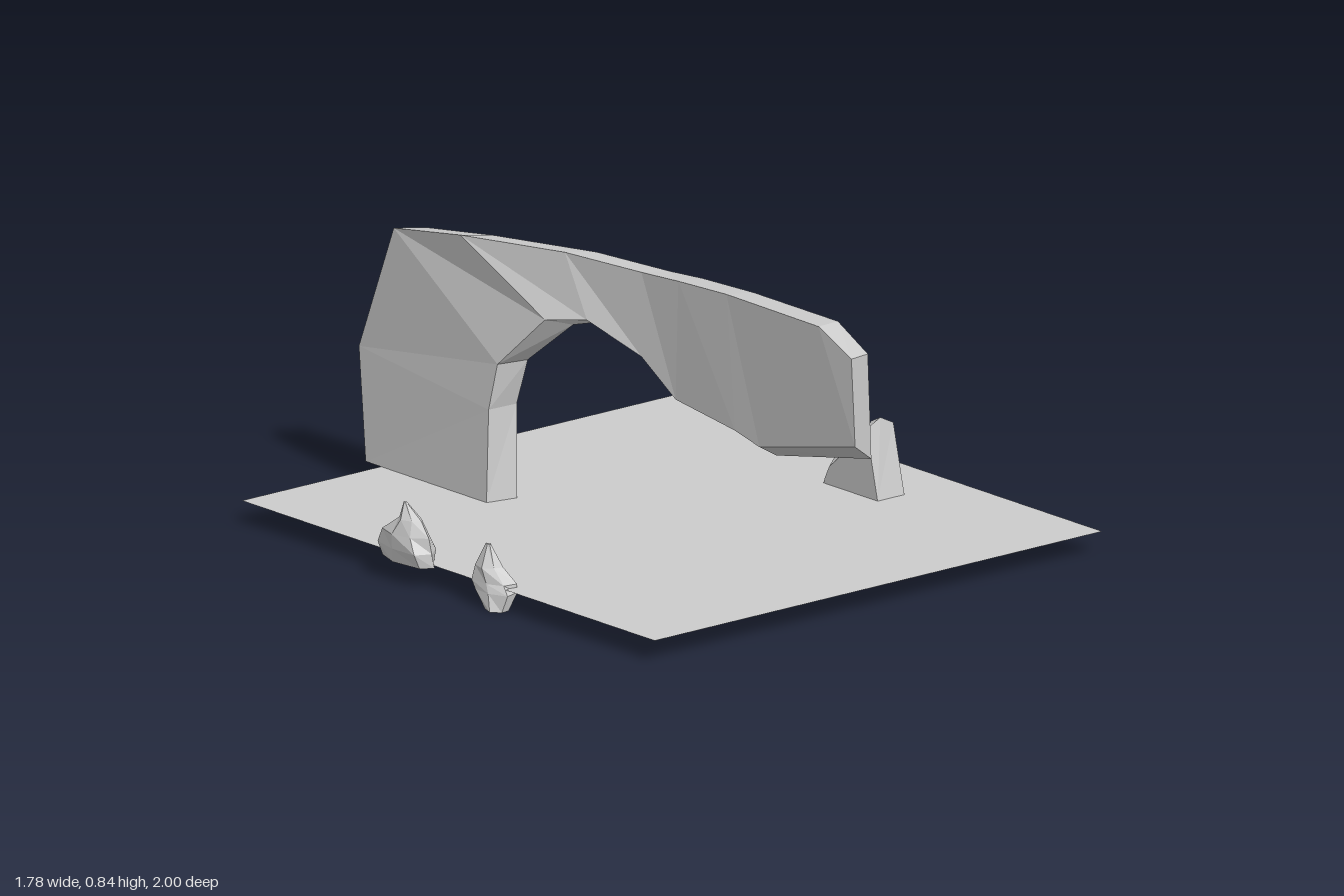
import * as THREE from 'three';

const grey = new THREE.MeshStandardMaterial({ color: 0xcccccc, flatShading: true });

// Skin a list of equal-sized rings of [x, y, z] points and cap both ends.
function loft(name, rings) {
  const n = rings[0].length;
  const index = [];
  for (let i = 0; i < rings.length - 1; i++) {
    for (let j = 0; j < n; j++) {
      const a = i * n + j, b = i * n + (j + 1) % n;
      index.push(a, b, b + n, a, b + n, a + n);
    }
  }
  const last = (rings.length - 1) * n;
  for (let j = 1; j < n - 1; j++) {
    index.push(0, j + 1, j, last, last + j, last + j + 1);
  }
  const points = rings.flat().map((p) => new THREE.Vector3(...p));
  // Turn the faces outward if the enclosed volume comes out negative.
  let volume = 0;
  const cross = new THREE.Vector3();
  for (let i = 0; i < index.length; i += 3) {
    volume += points[index[i]].dot(cross.crossVectors(points[index[i + 1]], points[index[i + 2]]));
  }
  if (volume < 0) index.reverse();
  const indexed = new THREE.BufferGeometry().setFromPoints(points);
  indexed.setIndex(index);
  const geometry = indexed.toNonIndexed();
  geometry.computeVertexNormals();
  const mesh = new THREE.Mesh(geometry, grey);
  mesh.name = name;
  return mesh;
}

// Bent slab: each section has outer and inner corners, left then right side.
function rockArch() {
  const sections = [
    // outer left, outer right, inner right, inner left
    [[-0.01, 0.75, 0.925], [0.083, 0.74, 0.89], [0.088, 0.42, 0.9], [0, 0.48, 0.93]],
    [[-0.03, 0.825, 0.8], [0.07, 0.815, 0.77], [0.07, 0.34, 0.49], [-0.02, 0.39, 0.52]],
    [[-0.045, 0.835, 0.4], [0.06, 0.82, 0.4], [0.065, 0.39, 0.4], [-0.03, 0.42, 0.42]],
    [[-0.06, 0.832, 0.2], [0.05, 0.815, 0.18], [0.058, 0.43, 0.16], [-0.045, 0.46, 0.17]],
    [[-0.075, 0.828, 0.05], [0.035, 0.81, 0.05], [0.04, 0.535, 0.05], [-0.075, 0.57, 0.05]],
    [[-0.14, 0.84, -0.22], [-0.035, 0.825, -0.2], [-0.05, 0.635, -0.12], [-0.14, 0.655, -0.12]],
    [[-0.245, 0.833, -0.57], [-0.145, 0.82, -0.54], [-0.125, 0.62, -0.2], [-0.2, 0.64, -0.24]],
    [[-0.255, 0.79, -0.86], [-0.158, 0.78, -0.83], [-0.155, 0.48, -0.37], [-0.255, 0.48, -0.39]],
    [[-0.27, 0.4, -1], [-0.168, 0.4, -0.97], [-0.168, 0.34, -0.405], [-0.272, 0.34, -0.41]],
    [[-0.295, 0.065, -0.94], [-0.197, 0.065, -0.91], [-0.197, 0.065, -0.37], [-0.297, 0.065, -0.39]],
  ];
  return loft('rockArch', sections);
}

// Wedge stone: pentagonal slices with a central ridge falling to the back.
function wedgeStone() {
  // base z, top z, side height, ridge height
  const slices = [
    [0.34, 0.29, 0.275, 0.3],
    [0.25, 0.25, 0.24, 0.28],
    [0.18, 0.19, 0.18, 0.22],
    [0.12, 0.12, 0.12, 0.185],
    [0.095, 0.1, 0.08, 0.13],
  ];
  return loft('wedgeStone', slices.map(([zb, zt, side, ridge]) => [
    [0.587, 0.065, zb], [0.69, 0.065, zb],
    [0.69, side, zt], [0.64, ridge, zt], [0.587, side, zt],
  ]));
}

// Jagged boulder: stacked seven-sided rings, each [y, x, z, half width, half depth].
function boulder(name, seed, levels) {
  const sides = 7;
  return loft(name, levels.map(([y, x, z, rx, rz], i) =>
    Array.from({ length: sides }, (_, j) => {
      const angle = (j / sides) * Math.PI * 2 + seed;
      const wobble = 1 + 0.12 * Math.sin(seed * 7 + j * 2.4 + i * 1.7);
      return [x + Math.cos(angle) * rx * wobble, y, z + Math.sin(angle) * rz * wobble];
    })));
}

export function createModel() {
  const model = new THREE.Group();
  model.name = 'rockArchScene';

  // Flat ground sheet
  const ground = new THREE.Mesh(
    new THREE.PlaneGeometry(1.72, 1.87).rotateX(-Math.PI / 2),
    new THREE.MeshStandardMaterial({ color: 0xcccccc, side: THREE.DoubleSide }),
  );
  ground.name = 'ground';
  ground.position.set(0.03, 0.065, 0.065);

  model.add(
    ground,
    rockArch(),
    wedgeStone(),
    boulder('backBoulder', 1.5, [
      [0.057, -0.832, -0.11, 0.045, 0.125],
      [0.1, -0.838, -0.11, 0.055, 0.11],
      [0.145, -0.84, -0.11, 0.05, 0.085],
      [0.19, -0.838, -0.095, 0.03, 0.045],
      [0.235, -0.838, -0.12, 0.004, 0.006],
    ]),
    boulder('frontBoulder', 0.2, [
      [0, -0.835, 0.29, 0.035, 0.045],
      [0.05, -0.81, 0.265, 0.058, 0.075],
      [0.075, -0.81, 0.25, 0.05, 0.075],
      [0.12, -0.82, 0.235, 0.035, 0.05],
      [0.185, -0.82, 0.235, 0.006, 0.01],
    ]),
  );
  return model;
}
